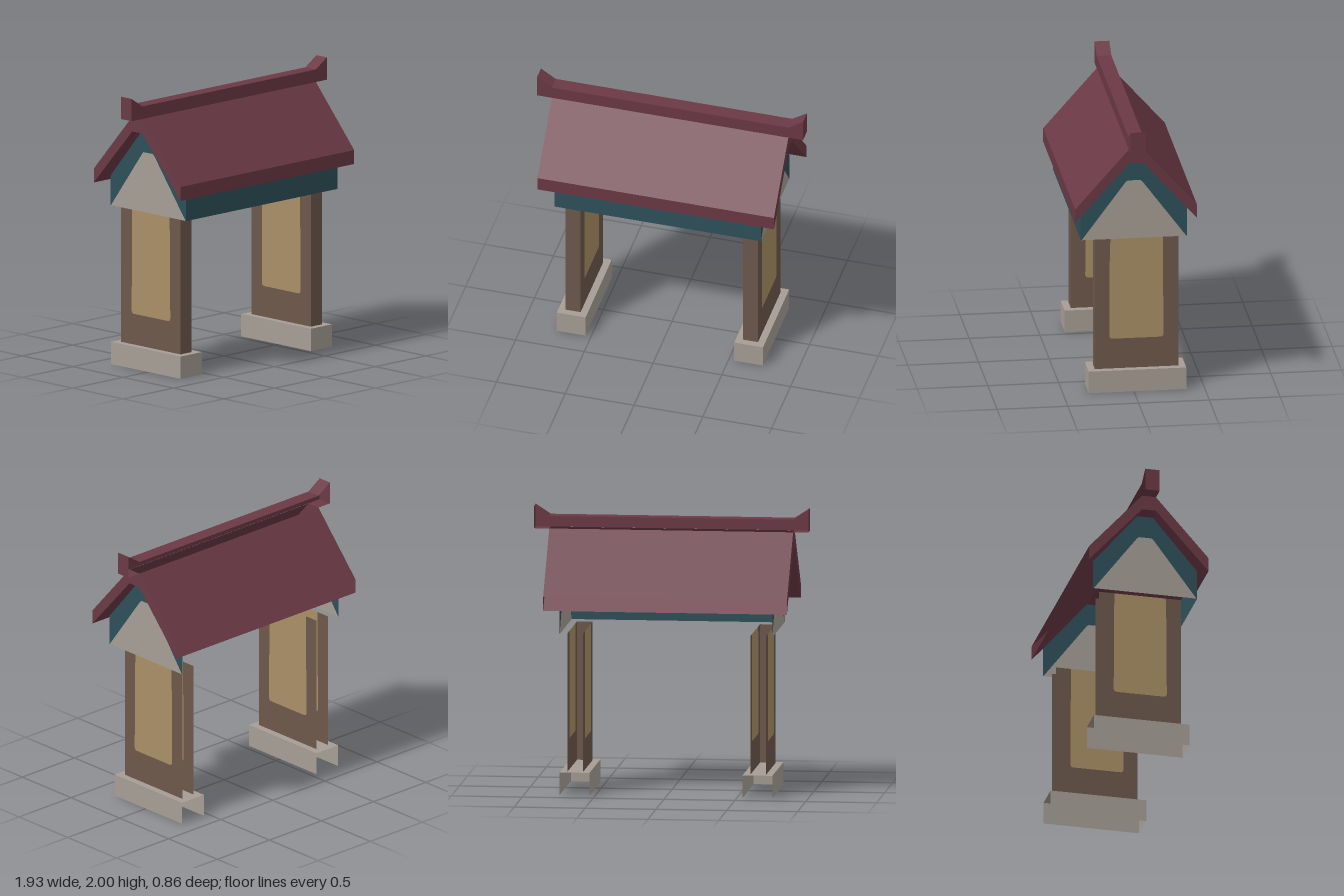
import * as THREE from 'three';

function material(name, color) {
  const m = new THREE.MeshStandardMaterial({ color, side: THREE.DoubleSide });
  m.name = name;
  return m;
}

// Flat-shaded strip of quads between two 3D polylines of equal length
function strip(a, b) {
  const pos = [];
  for (let i = 0; i < a.length - 1; i++) {
    for (const p of [a[i], b[i], b[i + 1], a[i], b[i + 1], a[i + 1]]) pos.push(...p);
  }
  const g = new THREE.BufferGeometry();
  g.setAttribute('position', new THREE.Float32BufferAttribute(pos, 3));
  g.computeVertexNormals();
  return g;
}

// Sweep a (z, y) profile along x
const sweep = (profile, x0, x1) =>
  strip(profile.map(([z, y]) => [x0, y, z]), profile.map(([z, y]) => [x1, y, z]));

// Flat sheet at a given x, outlined in (z, y)
function sheet(outline, x) {
  const shape = new THREE.Shape(outline.map(([z, y]) => new THREE.Vector2(z, y)));
  return new THREE.ShapeGeometry(shape).rotateY(-Math.PI / 2).translate(x, 0, 0);
}

const mirrorZ = (half) => [...half, ...half.map(([z, y]) => [-z, y]).reverse()];

export function createModel() {
  const maroon = material('maroon roof', 0x6b3945);
  const teal = material('teal trim', 0x2e5059);
  const brown = material('brown wood', 0x6d584b);
  const grey = material('grey stone', 0xa69e95);
  const tan = material('tan panel', 0xa98f66);

  const model = new THREE.Group();
  model.name = 'roofedGateway';
  const add = (name, geometry, mat, parent = model) => {
    const mesh = new THREE.Mesh(geometry, mat);
    mesh.name = name;
    parent.add(mesh);
  };

  // Panel outline: open top, rounded lower corners
  const top = 1.14;
  const panel = [
    [0.16, top], [0.165, 0.95], [0.168, 0.4], [0.162, 0.386], [0.148, 0.38],
    [-0.195, 0.38], [-0.209, 0.386], [-0.215, 0.4], [-0.212, 0.95], [-0.21, top],
  ];
  const frame = [...panel, [-0.32, top], [-0.32, 0.16], [0.27, 0.16], [0.27, top]];

  // Gable outlines
  const greyEdge = mirrorZ([[0.37, top], [0.062, 1.555], [0.045, 1.57]]);
  const tealEdge = mirrorZ([[0.375, top], [0.375, 1.35], [0.055, 1.73]]);

  for (const side of [1, -1]) {
    const end = new THREE.Group();
    end.name = side > 0 ? 'leftSupport' : 'rightSupport';
    model.add(end);

    // Stone footing, open at the back and underneath
    add('footingShell', sweep([[0.32, 0], [0.32, 0.16], [-0.37, 0.16]], side * 0.54, side * 0.75), grey, end);
    for (const x of [0.54, 0.75]) {
      add('footingSide', sheet([[0.32, 0], [0.32, 0.16], [-0.37, 0.16], [-0.37, 0]], side * x), grey, end);
    }

    // Post with an inset-coloured panel on both faces, open at the back
    add('postFront', sweep([[0.27, 0.16], [0.27, top]], side * 0.59, side * 0.7), brown, end);
    for (const x of [0.59, 0.7]) {
      add('postFrame', sheet(frame, side * x), brown, end);
      add('postPanel', sheet(panel, side * x), tan, end);
    }

    // Gable sheet
    add('gableInfill', sheet(greyEdge, side * 0.75), grey, end);
    add('gableTrim', sheet([...tealEdge, ...[...greyEdge].reverse()], side * 0.75), teal, end);
  }

  // Long beam under the front eave
  add('frontBeam', sweep([[0.375, top], [0.375, 1.35]], -0.75, 0.75), teal);

  // Roof slab: open along the back eave and under the ridge
  const roofX = 0.86;
  const under = mirrorZ([[0.43, 1.31], [0.05, 1.735]]);
  const over = mirrorZ([[0.43, 1.41], [0.05, 1.84]]);
  add('frontRoofSlope', sweep([[0.43, 1.31], [0.43, 1.41], [0.05, 1.84]], -roofX, roofX), maroon);
  add('backRoofSlope', sweep([[-0.05, 1.84], [-0.43, 1.41]], -roofX, roofX), maroon);
  add('roofUnderside', sweep(under, -roofX, roofX), maroon);
  for (const side of [1, -1]) {
    add('roofEnd', sheet([...over, ...[...under].reverse()], side * roofX), maroon);
  }

  // Ridge cap with upturned ends, open at the back
  const tipX = 0.967, z = 0.052;
  const crest = [[-tipX, 2], [-roofX, 1.93], [roofX, 1.93], [tipX, 2]];
  const front = crest.map(([x, y]) => [x, y, z]);
  add('ridgeTop', strip(front, crest.map(([x, y]) => [x, y, -z])), maroon);
  add('ridgeFront', strip(front, crest.map(([x]) => [x, 1.84, z])), maroon);
  for (const side of [1, -1]) {
    add('ridgeEnd', sheet([[z, 1.84], [z, 2], [-z, 2], [-z, 1.84]], side * tipX), maroon);
    add('ridgeEndUnderside', sweep([[z, 1.84], [-z, 1.84]], side * roofX, side * tipX), maroon);
  }

  return model;
}
